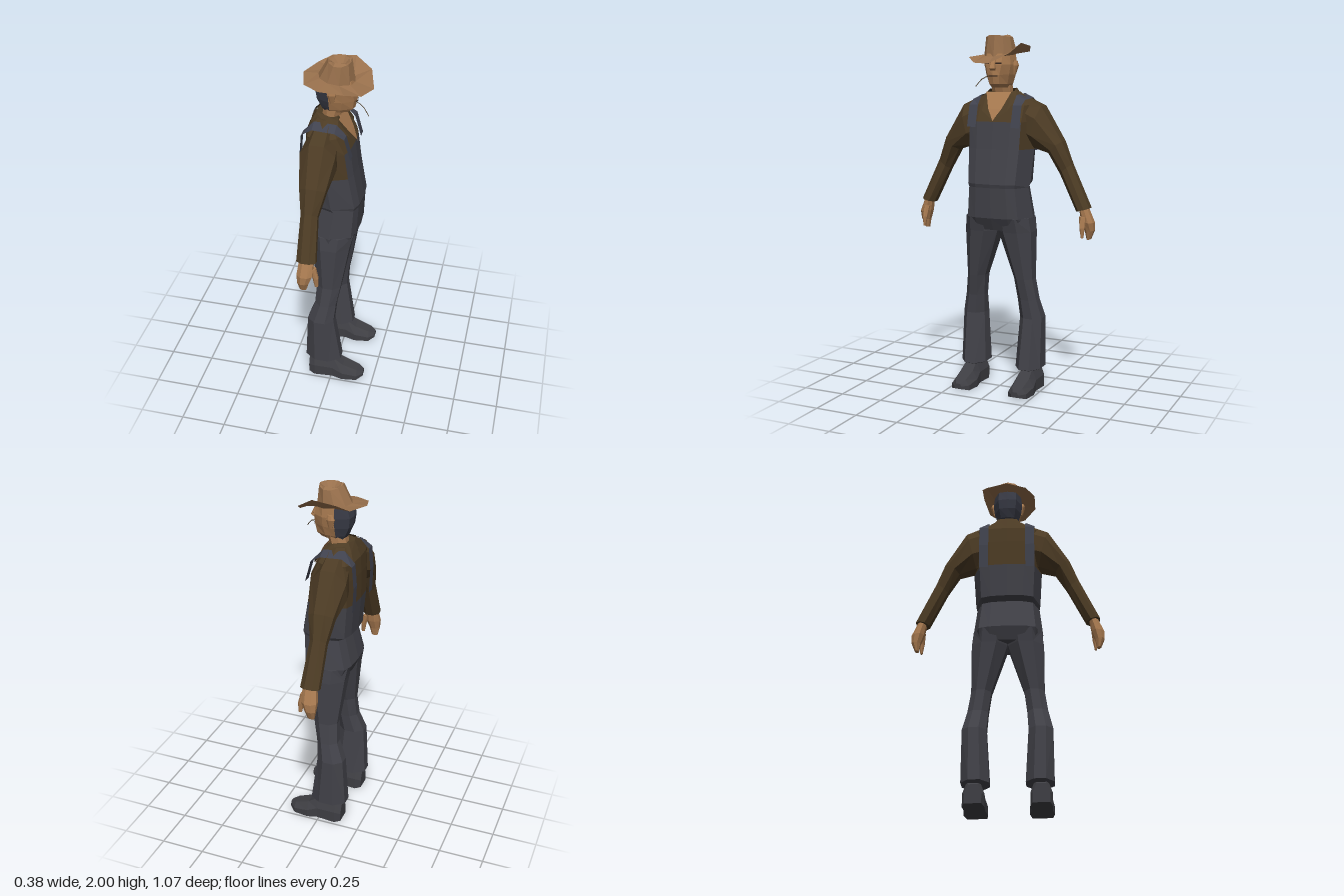
import * as THREE from 'three';

const mat = (name, color) => new THREE.MeshStandardMaterial({ name, color, side: THREE.DoubleSide });

export function createModel() {
  const root = new THREE.Group();
  const skin = mat('skin', 0xa87a50), straw = mat('straw', 0x98704c), shirt = mat('shirt', 0x4c3b24);
  const denim = mat('denim', 0x424249), strap = mat('strap', 0x40424e), hair = mat('hair', 0x383a45);
  const shoe = mat('shoe', 0x3e3e43), dark = mat('darkLine', 0x2e2119);

  // Faceted mesh from triangles grouped by material
  function facets(name, tris) {
    const mats = [...new Set(tris.map(t => t.m))], pos = [], geo = new THREE.BufferGeometry();
    mats.forEach((m, k) => {
      const start = pos.length / 3;
      tris.filter(t => t.m === m).forEach(t => t.p.forEach(p => pos.push(...p)));
      geo.addGroup(start, pos.length / 3 - start, k);
    });
    geo.setAttribute('position', new THREE.Float32BufferAttribute(pos, 3));
    geo.computeVertexNormals();
    const mesh = new THREE.Mesh(geo, mats.length > 1 ? mats : mats[0]);
    mesh.name = name;
    root.add(mesh);
  }

  // Closed skin through rings; pick(row, column) gives the material
  function loft(name, rings, pick) {
    const m = typeof pick === 'function' ? pick : () => pick;
    const tris = [], n = rings[0].length;
    for (let r = 0; r < rings.length - 1; r++) for (let i = 0; i < n; i++) {
      const j = (i + 1) % n, [a, b] = [rings[r], rings[r + 1]];
      tris.push({ m: m(r, i), p: [a[i], b[i], b[j]] }, { m: m(r, i), p: [a[i], b[j], a[j]] });
    }
    [[rings[0], 0], [rings[rings.length - 1], rings.length - 2]].forEach(([g, r], end) => {
      const c = [0, 1, 2].map(k => g.reduce((s, p) => s + p[k], 0) / n);
      g.forEach((p, i) => {
        const q = g[(i + 1) % n];
        tris.push({ m: m(r, i), p: end ? [c, q, p] : [c, p, q] });
      });
    });
    // Turn the faces outward by the sign of the volume
    const v = new THREE.Vector3(), w = new THREE.Vector3(), u = new THREE.Vector3();
    const vol = tris.reduce((s, t) => s + u.set(...t.p[0]).dot(v.set(...t.p[1]).cross(w.set(...t.p[2]))), 0);
    if (vol < 0) tris.forEach(t => t.p.reverse());
    facets(name, tris);
  }

  // Open band between two edges
  function strip(name, a, b, m, flip = false) {
    const tris = [];
    for (let i = 0; i < a.length - 1; i++)
      [[a[i], b[i], b[i + 1]], [a[i], b[i + 1], a[i + 1]]].forEach(p => tris.push({ m, p: flip ? p.reverse() : p }));
    facets(name, tris);
  }

  // Octagonal section filling x0..x1 and z0..z1, tilted from y0 to y1
  const oct = s => ([x0, x1, z0, y0, z1, y1]) => Array.from({ length: 8 }, (_, i) => {
    const a = (i + 0.5) * Math.PI / 4, k = 0.5 / Math.cos(Math.PI / 8);
    const u = 0.5 + k * Math.cos(a), t = 0.5 + k * Math.sin(a);
    return [x0 + (x1 - x0) * u, y0 + (y1 - y0) * t, s * (z0 + (z1 - z0) * t)];
  });
  // Whole ring from a half outline of [x, z], front to back
  const mirrored = (y, half) => [
    ...half.map(([x, z]) => [x, y, z]),
    ...half.slice(1, -1).reverse().map(([x, z]) => [x, y, -z])];

  // Torso: overalls with bib, shirt above; rows are y, front, back, half width
  const torso = [
    [0.93, 0.09, -0.125, 0.19], [1.0, 0.125, -0.155, 0.197], [1.17, 0.135, -0.115, 0.178],
    [1.19, 0.14, -0.15, 0.183], [1.38, 0.107, -0.165, 0.195], [1.53, 0.088, -0.165, 0.2],
    [1.62, 0.045, -0.16, 0.2], [1.69, 0.008, -0.125, 0.1],
  ].map(([y, f, b, w]) => mirrored(y, [[f, 0], [f - 0.006, w * 0.5], [f - 0.025, w * 0.77],
    [(f + b) / 2, w], [b + 0.025, w * 0.8], [b + 0.006, w * 0.5], [b, 0]]));
  loft('torso', torso, (r, i) => r < 4 || (r === 4 && (i < 2 || i > 9)) ? denim : shirt);

  // Open neckline and neck
  strip('chest', [[0.015, 1.69, 0.075], [0.068, 1.6, 0.04], [0.1, 1.535, 0]],
    [[0.015, 1.69, -0.075], [0.068, 1.6, -0.04], [0.1, 1.535, 0]], skin, true);
  loft('neck', [[-0.09, 0.03, -0.07, 1.63, 0.07, 1.63], [-0.085, 0.01, -0.055, 1.69, 0.055, 1.69],
    [-0.07, 0.04, -0.055, 1.79, 0.055, 1.79]].map(oct(1)), skin);

  for (const s of [1, -1]) {
    const side = s > 0 ? 'left' : 'right';
    const at = pts => pts.map(([x, y, z]) => [x, y, z * s]);

    // Collar
    strip(side + 'Collar',
      at([[-0.125, 1.705, 0], [-0.11, 1.71, 0.055], [-0.04, 1.705, 0.078], [0.01, 1.68, 0.075], [0.1, 1.545, 0.008]]),
      at([[-0.145, 1.665, 0], [-0.135, 1.665, 0.075], [-0.05, 1.67, 0.115], [0.02, 1.655, 0.11], [0.075, 1.59, 0.075]]),
      shirt, s < 0);

    // Shoulder strap running from bib to back
    const path = [[0.095, 1.5], [0.062, 1.62], [0.01, 1.675], [-0.11, 1.682], [-0.168, 1.62], [-0.178, 1.5], [-0.172, 1.36]];
    strip(side + 'Strap', at(path.map(([x, y]) => [x, y, 0.105])),
      at(path.map(([x, y], i) => [x, y - (i === 2 || i === 3 ? 0.025 : 0), 0.157])), strap, s > 0);

    // Sleeve, hand and thumb
    loft(side + 'Sleeve', [[-0.14, 0.02, 0.1, 1.42, 0.12, 1.67], [-0.16, 0.03, 0.18, 1.39, 0.235, 1.615],
      [-0.135, 0.005, 0.275, 1.36, 0.355, 1.425], [-0.115, -0.025, 0.34, 1.245, 0.405, 1.3],
      [-0.115, -0.012, 0.44, 1.045, 0.515, 1.065]].map(oct(s)), shirt);
    loft(side + 'Hand', [[-0.1, -0.025, 0.455, 1.06, 0.5, 1.07], [-0.11, -0.025, 0.467, 0.99, 0.535, 0.985],
      [-0.105, -0.045, 0.485, 0.935, 0.535, 0.94], [-0.095, -0.06, 0.493, 0.887, 0.515, 0.89]].map(oct(s)), skin);
    loft(side + 'Thumb', [[-0.05, -0.012, 0.465, 1.02, 0.5, 1.02], [-0.028, 0.002, 0.472, 0.96, 0.5, 0.96],
      [-0.018, 0, 0.482, 0.905, 0.494, 0.905]].map(oct(s)), skin);

    // Trouser leg with flared cuff; rows are y, back, front, inner, outer
    loft(side + 'Leg', [[1.0, -0.14, 0.11, 0, 0.19], [0.92, -0.125, 0.09, 0.002, 0.2], [0.65, -0.092, 0.045, 0.09, 0.2],
      [0.53, -0.1, 0.022, 0.105, 0.218], [0.42, -0.14, 0.012, 0.112, 0.243], [0.13, -0.155, 0.053, 0.095, 0.245],
      [0.12, -0.13, 0.03, 0.115, 0.225]].map(([y, b, f, i, o]) => oct(s)([b, f, i, y, o, y])), denim);

    // Shoe; sections are x, sole height, top, half width
    loft(side + 'Shoe', [[-0.135, 0.01, 0.11, 0.045], [-0.1, 0, 0.14, 0.058], [0.01, 0.006, 0.13, 0.055],
      [0.07, 0, 0.09, 0.065], [0.155, 0.002, 0.06, 0.055], [0.19, 0.015, 0.045, 0.022]]
      .map(([x, y, h, w]) => [[-1, 0], [-1, 0.5], [-0.55, 1], [0.55, 1], [1, 0.5], [1, 0]]
        .map(([a, b]) => [x, y + (h - y) * b, s * 0.176 + a * w])), shoe);

    // Ear, eye
    loft(side + 'Ear', [[-0.03, -0.01, 0.075, 1.785, 0.085, 1.785], [-0.045, 0, 0.075, 1.835, 0.1, 1.835],
      [-0.035, -0.005, 0.075, 1.86, 0.095, 1.86]].map(oct(s)), skin);
    strip(side + 'Eye', at([[0.099, 1.852, 0.018], [0.088, 1.85, 0.05]]),
      at([[0.101, 1.842, 0.018], [0.09, 1.842, 0.05]]), dark, s > 0);
  }

  // Head with hair over the back
  loft('head', [
    [1.715, [[0.06, 0], [0.052, 0.025], [0.01, 0.045], [-0.04, 0.05], [-0.07, 0.035], [-0.08, 0]]],
    [1.735, [[0.085, 0], [0.076, 0.028], [0.02, 0.055], [-0.04, 0.062], [-0.085, 0.04], [-0.095, 0]]],
    [1.785, [[0.097, 0], [0.085, 0.035], [0.03, 0.068], [-0.04, 0.078], [-0.108, 0.048], [-0.115, 0]]],
    [1.84, [[0.096, 0], [0.084, 0.048], [0.03, 0.078], [-0.04, 0.085], [-0.115, 0.052], [-0.122, 0]]],
    [1.9, [[0.08, 0], [0.07, 0.045], [0.03, 0.072], [-0.04, 0.078], [-0.1, 0.05], [-0.11, 0]]],
  ].map(([y, h]) => mirrored(y, h)), (r, i) => i >= 3 && i <= 6 ? hair : skin);
  loft('nose', [[0.08, 0.098, -0.012, 1.865, 0.012, 1.865], [0.08, 0.12, -0.018, 1.82, 0.018, 1.82],
    [0.08, 0.1, -0.014, 1.808, 0.014, 1.808]].map(oct(1)), skin);
  strip('mouth', [[0.093, 1.782, 0.028], [0.102, 1.782, 0], [0.093, 1.782, -0.028]],
    [[0.093, 1.775, 0.028], [0.101, 1.775, 0], [0.093, 1.775, -0.028]], dark);

  // Grass stem held in the mouth
  const stem = new THREE.Mesh(new THREE.TubeGeometry(new THREE.CatmullRomCurve3([[0.09, 1.78, 0.02],
    [0.135, 1.765, 0.042], [0.17, 1.725, 0.065]].map(p => new THREE.Vector3(...p))), 4, 0.0025, 4), shirt);
  stem.name = 'stem';
  root.add(stem);

  // Hat: wavy brim and a creased crown
  const brim = [[-0.19, 1.905, 0], [-0.14, 1.91, -0.12], [-0.075, 1.94, -0.15], [0.055, 1.955, -0.15],
    [0.145, 1.9, -0.12], [0.18, 1.845, -0.01], [0.135, 1.85, 0.095], [0.06, 1.88, 0.16], [-0.075, 1.885, 0.16],
    [-0.16, 1.89, 0.11]];
  const oval = (x0, x1, w, height) => brim.map((_, i) => {
    const a = Math.PI + i * Math.PI / 5;
    return [(x0 + x1) / 2 + Math.cos(a) * (x1 - x0) / 2, height(a), Math.sin(a) * w];
  });
  const base = oval(-0.11, 0.085, 0.09, a => 1.895 - 0.012 * Math.cos(a));
  strip('brim', [...brim, brim[0]], [...base, base[0]], straw, true);
  loft('crown', [base, oval(-0.06, 0.07, 0.075, a => 1.982 + 0.016 * Math.abs(Math.cos(a))),
    oval(-0.045, 0.055, 0.055, a => 1.985 + 0.015 * Math.abs(Math.sin(a))),
    oval(0, 0.02, 0.008, () => 1.955)], straw);

  return root;
}
